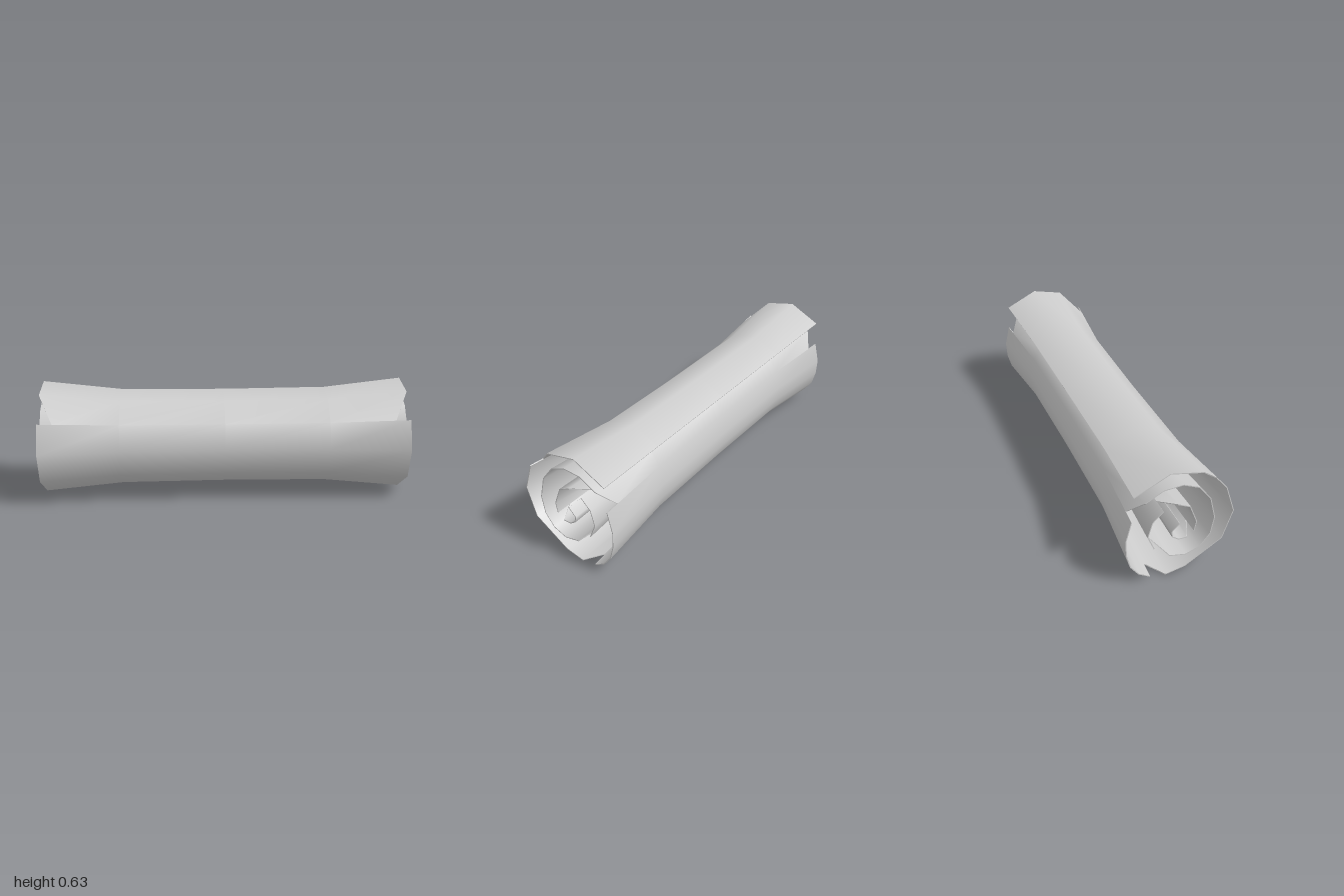
import * as THREE from 'three';
import { mergeVertices } from 'three/addons/utils/BufferGeometryUtils.js';

// Spiral cross-section from the loose flap to the core, as [z, y] pairs: at the flared ends and at the waist
const FLARE = [
  [-0.247, 0.545], [-0.07, 0.63], [0.1, 0.59], [0.23, 0.463], [0.282, 0.305], [0.232, 0.142], [0.04, 0.022],
  [-0.065, 0.002], [-0.15, 0.019], [-0.21, 0.058], [-0.255, 0.12], [-0.277, 0.2], [-0.282, 0.29], [-0.255, 0.405],
  [-0.19, 0.495], [-0.1, 0.543], [0, 0.547], [0.085, 0.507], [0.15, 0.42], [0.181, 0.295], [0.165, 0.195],
  [0.112, 0.127], [0.038, 0.1], [-0.05, 0.121], [-0.135, 0.195], [-0.171, 0.28], [-0.15, 0.365], [-0.095, 0.418],
  [-0.02, 0.437], [0.045, 0.403], [0.085, 0.3], [0.075, 0.243], [0.038, 0.212], [-0.008, 0.214], [-0.042, 0.24],
  [-0.048, 0.275], [-0.008, 0.316],
];
const WAIST = [
  [-0.212, 0.505], [-0.065, 0.577], [0.08, 0.543], [0.188, 0.44], [0.235, 0.305], [0.193, 0.165], [0.03, 0.066],
  [-0.06, 0.05], [-0.13, 0.062], [-0.183, 0.095], [-0.22, 0.147], [-0.24, 0.213], [-0.243, 0.29], [-0.217, 0.39],
  [-0.175, 0.453], [-0.085, 0.503], [0, 0.508], [0.067, 0.473], [0.122, 0.4], [0.149, 0.295], [0.134, 0.21],
  [0.092, 0.155], [0.03, 0.132], [-0.045, 0.148], [-0.113, 0.207], [-0.147, 0.285], [-0.129, 0.355], [-0.085, 0.401],
  [-0.02, 0.414], [0.034, 0.39], [0.065, 0.298], [0.062, 0.25], [0.033, 0.224], [-0.006, 0.225], [-0.038, 0.245],
  [-0.044, 0.272], [-0.008, 0.313],
];
// Torn notches: 1 slopes in and steps out, -1 steps in and slopes out
const NOTCHES = { 3: 1, 8: 1, 13: -1, 24: 1, 27: -1, 31: -1 };
const NOTCH_X = 0.92;
const THICKNESS = 0.005;

// Rows along the spiral; a notch doubles its row with two different end positions
function makeRows() {
  const rows = [];
  FLARE.forEach((p, i) => {
    const n = NOTCHES[i];
    const ends = n ? (n > 0 ? [NOTCH_X, 1] : [1, NOTCH_X]) : [1];
    ends.forEach((end) => rows.push({ i, end }));
  });
  return rows;
}

// Inward direction of a spiral point
function inward(profile, i) {
  const a = profile[Math.max(i - 1, 0)];
  const b = profile[Math.min(i + 1, profile.length - 1)];
  return new THREE.Vector2(b[1] - a[1], a[0] - b[0]).normalize();
}

// One line of points across the sheet, sunk inward by depth
function rowPoints({ i, end }, depth) {
  return [-end, -0.57, 0, 0.57, end].map((x) => {
    const ax = Math.abs(x);
    const t = ax < 0.571 ? 0.1 * ax / 0.57 : 0.1 + 0.9 * (ax - 0.57) / 0.43;
    const n = inward(FLARE, i).lerp(inward(WAIST, i), 1 - t).multiplyScalar(depth);
    return new THREE.Vector3(
      x,
      THREE.MathUtils.lerp(WAIST[i][1], FLARE[i][1], t) + n.y,
      THREE.MathUtils.lerp(WAIST[i][0], FLARE[i][0], t) + n.x,
    );
  });
}

// Smooth face of the sheet
function sheetGeometry(rows, lines, flip) {
  const index = [];
  const cols = 5;
  for (let r = 0; r < lines.length - 1; r++) {
    if (rows[r].i === rows[r + 1].i) continue;
    for (let c = 0; c < cols - 1; c++) {
      const a = r * cols + c, b = a + 1, d = a + cols, e = d + 1;
      if (flip) index.push(a, b, d, b, e, d);
      else index.push(a, d, b, b, d, e);
    }
  }
  let geo = new THREE.BufferGeometry().setFromPoints(lines.flat());
  geo.setIndex(index);
  geo = mergeVertices(geo, 1e-5);
  geo.computeVertexNormals();
  return geo;
}

// Flat narrow strip joining two edges
function stripGeometry(a, b) {
  const pts = [];
  for (let k = 0; k < a.length - 1; k++) pts.push(a[k], a[k + 1], b[k], b[k], a[k + 1], b[k + 1]);
  const geo = new THREE.BufferGeometry().setFromPoints(pts);
  geo.computeVertexNormals();
  return geo;
}

export function createModel() {
  const group = new THREE.Group();
  group.name = 'rolledScroll';
  const paper = new THREE.MeshStandardMaterial({ color: 0xcccccc, side: THREE.DoubleSide });
  paper.name = 'pale grey paper';
  const add = (name, geo) => {
    const mesh = new THREE.Mesh(geo, paper);
    mesh.name = name;
    group.add(mesh);
  };

  const rows = makeRows();
  const outer = rows.map((r) => rowPoints(r, 0));
  const inner = rows.map((r) => rowPoints(r, THICKNESS));
  const column = (lines, c) => lines.map((l) => l[c]);

  // Two faces of the rolled sheet
  add('sheetOutside', sheetGeometry(rows, outer, false));
  add('sheetInside', sheetGeometry(rows, inner, true));

  // Thin edges closing the sheet
  add('leftEdge', stripGeometry(column(outer, 4), column(inner, 4)));
  add('rightEdge', stripGeometry(column(inner, 0), column(outer, 0)));
  add('flapEdge', stripGeometry(outer[0], inner[0]));
  add('coreEdge', stripGeometry(inner[inner.length - 1], outer[outer.length - 1]));

  return group;
}
